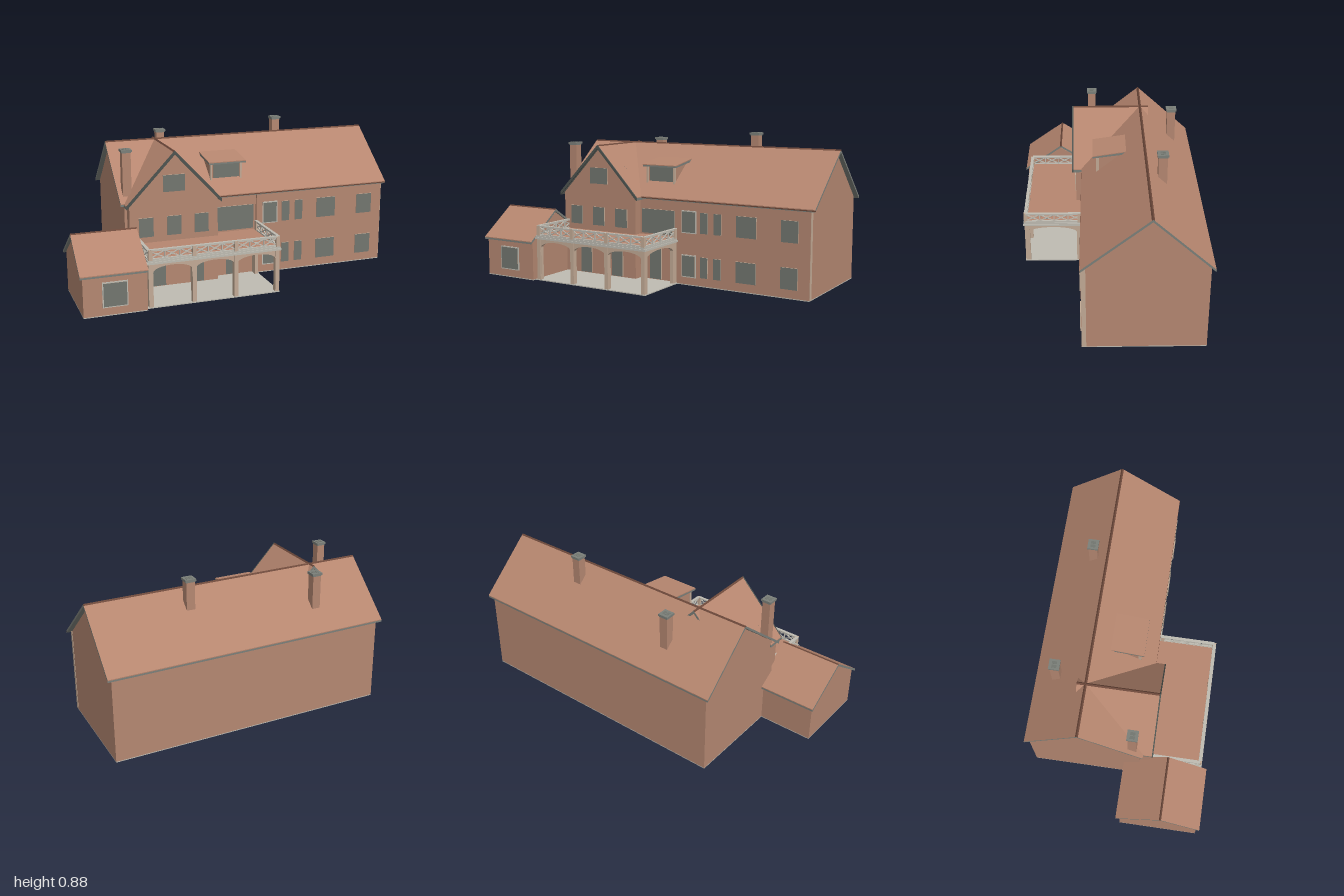
import * as THREE from 'three';

const paint = (name, color) => Object.assign(new THREE.MeshStandardMaterial({ color }), { name });

export function createModel() {
  const brick = paint('brick', 0xb48771), tile = paint('roof tile', 0xb6866f), slate = paint('slate grey', 0x7b7f79);
  const tan = paint('tan stone', 0xc2aa95), cream = paint('pale stone', 0xbfbcb2), glass = paint('window glass', 0x72766f);
  const ridgeTile = paint('ridge tile', 0x6c483a), darkTrim = paint('dark trim', 0x4e5450);
  const model = new THREE.Group();
  model.name = 'house';

  const add = (name, geo, mat, parent = model) => {
    const mesh = new THREE.Mesh(geo, mat);
    mesh.name = name;
    parent.add(mesh);
    return mesh;
  };
  const group = (name) => {
    const g = new THREE.Group();
    g.name = name;
    model.add(g);
    return g;
  };
  // box given by its limits
  const box = (name, x0, x1, y0, y1, z0, z1, mat, parent) => {
    const g = new THREE.BoxGeometry(x1 - x0, y1 - y0, z1 - z0);
    g.translate((x0 + x1) / 2, (y0 + y1) / 2, (z0 + z1) / 2);
    return add(name, g, mat, parent);
  };
  // profile pushed along z (points are x,y) or along x (points are z,y)
  const extrude = (shape, a, b, axis) => {
    const g = new THREE.ExtrudeGeometry(shape, { depth: b - a, bevelEnabled: false, curveSegments: 14 });
    g.translate(0, 0, a);
    if (axis === 'x') g.rotateY(Math.PI / 2);
    return g;
  };
  const prism = (pts, a, b, axis) => {
    const s = axis === 'x' ? -1 : 1;
    return extrude(new THREE.Shape(pts.map(([u, y]) => new THREE.Vector2(s * u, y))), a, b, axis);
  };
  // bent strip under a left, ridge, right line, between two depths
  const chevron = (pts, d0, d1) => [...pts.map(([u, y]) => [u, y - d0]), ...[...pts].reverse().map(([u, y]) => [u, y - d1])];
  // pitched roof: tiles on top of a slate-coloured deck, with a ridge cap
  const roof = (name, pts, a, b, axis, thick = 0.015) => {
    const g = group(name);
    add('roofTiles', prism(chevron(pts, 0, 0.005), a, b, axis), [slate, tile], g);
    add('roofDeck', prism(chevron(pts, 0.005, thick), a, b, axis), slate, g);
    const [u, y] = pts[1];
    add('ridgeCap', prism([[u - 0.008, y - 0.006], [u, y + 0.002], [u + 0.008, y - 0.006]], a, b, axis), ridgeTile, g);
  };

  // main block, front facade and foundations
  add('mainWalls', prism([[0.135, 0.005], [0.135, 0.5], [-0.21, 0.782], [-0.515, 0.5], [-0.515, 0.005]], -0.66, 0.975, 'x'), brick);
  box('frontFacade', 0.14, 0.975, 0.005, 0.5, 0.135, 0.15, brick);
  box('cornerStrip', 0.968, 0.977, 0.005, 0.503, 0.125, 0.149, tan);
  box('mainFoundation', -0.66, 0.975, 0, 0.005, -0.515, 0.15, cream);
  roof('mainRoof', [[0.155, 0.505], [-0.21, 0.8], [-0.535, 0.505]], -0.685, 1, 'x');
  box('frontEave', -0.1, 1, 0.494, 0.5, 0.15, 0.156, ridgeTile);

  // cross gable; its hidden rear part is narrower so that it stays inside the main block
  add('gableWalls', prism([[-0.645, 0.005], [-0.645, 0.5], [-0.38, 0.78], [-0.12, 0.5], [-0.12, 0.005]], -0.1, 0.19, 'z'), brick);
  const gableLine = [[-0.665, 0.502], [-0.38, 0.8], [-0.1, 0.502]];
  roof('gableRoof', gableLine, 0.1, 0.205, 'z', 0.02);
  roof('gableRoofRear', [[-0.637, 0.531], [-0.38, 0.8], [-0.127, 0.531]], -0.26, 0.1, 'z', 0.02);
  add('bargeboard', prism(chevron(gableLine, -0.001, 0.021), 0.205, 0.212, 'z'), darkTrim);

  // low side wing
  add('wingWalls', prism([[0.06, 0.005], [0.06, 0.235], [0.3, 0.385], [0.522, 0.235], [0.522, 0.005]], -0.985, -0.635, 'x'), brick);
  box('wingFoundation', -0.985, -0.635, 0, 0.005, 0.06, 0.522, cream);
  roof('wingRoof', [[0.04, 0.237], [0.3, 0.405], [0.537, 0.237]], -1, -0.632, 'x');

  // shed dormer
  add('dormerWalls', prism([[0.052, 0.56], [0.052, 0.682], [-0.1, 0.706], [-0.1, 0.6]], -0.12, 0.075, 'x'), brick);
  for (const x of [-0.12, 0.067]) box('dormerPost', x - 0.001, x + 0.009, 0.575, 0.68, 0.049, 0.066, tan);
  add('dormerRoofDeck', prism([[0.085, 0.675], [0.085, 0.684], [-0.125, 0.716], [-0.125, 0.702]], -0.135, 0.095, 'x'), slate);
  add('dormerRoofTiles', prism([[0.085, 0.684], [0.085, 0.689], [-0.125, 0.721], [-0.125, 0.716]], -0.135, 0.095, 'x'), tile);

  // windows and doors: a thin plate, some with a pale frame behind it
  const opening = (name, x0, x1, y0, y1, z, framed) => {
    const g = group(name);
    box('glass', x0, x1, y0, y1, z, z + 0.007, [tan, tan, tan, tan, glass, glass], g);
    if (framed) box('frame', x0 - 0.006, x1 + 0.006, y0 - 0.006, y1 + 0.006, z, z + 0.005, cream, g);
  };
  opening('wingWindow', -0.876, -0.749, 0.054, 0.184, 0.522, true);
  opening('atticWindow', -0.447, -0.319, 0.565, 0.662, 0.19);
  opening('dormerWindow', -0.1, 0.062, 0.588, 0.676, 0.052);
  opening('landingWindow', -0.105, 0.122, 0.285, 0.43, 0.135);
  for (const x of [-0.55, -0.385, -0.22]) opening('gableWindow', x - 0.042, x + 0.042, 0.31, 0.422, 0.19);
  for (const [x, z] of [[-0.48, 0.19], [-0.25, 0.19], [-0.01, 0.135]]) opening('door', x - 0.04, x + 0.04, 0.01, 0.198, z);
  const columns = [[0.183, 0.267, true], [0.302, 0.35], [0.388, 0.436], [0.532, 0.656], [0.805, 0.906]];
  for (const [x0, x1, framed] of columns) {
    for (const y of [0.054, 0.314]) opening('facadeWindow', x0, x1, y, y + 0.121, 0.15, framed);
  }

  // chimneys with caps and flues
  const chimney = (x, z, base, top) => {
    const g = group('chimney');
    box('chimneyShaft', x - 0.025, x + 0.025, base, top - 0.012, z - 0.025, z + 0.025, brick, g);
    box('chimneyNeck', x - 0.027, x + 0.027, top - 0.018, top - 0.012, z - 0.027, z + 0.027, slate, g);
    box('chimneyCap', x - 0.031, x + 0.031, top - 0.012, top, z - 0.031, z + 0.031, slate, g);
    for (const s of [-1, 1]) box('flue', x + s * 0.011 - 0.008, x + s * 0.011 + 0.008, top, top + 0.001, z - 0.014, z + 0.014, glass, g);
  };
  chimney(0.435, -0.295, 0.65, 0.877);
  chimney(-0.3, -0.398, 0.55, 0.82);
  chimney(-0.635, 0.09, 0.4, 0.805);

  // porch: floor, arcades, piers and terrace
  box('porchFloor', -0.632, 0.145, 0, 0.006, 0.13, 0.5, cream);
  const arcade = (from, to, arches) => {
    const s = new THREE.Shape();
    s.moveTo(from, 0.006);
    for (const [a, b] of arches) {
      s.lineTo(a, 0.006);
      s.lineTo(a, 0.2);
      s.absellipse((a + b) / 2, 0.2, (b - a) / 2, 0.036, Math.PI, 0, true);
      s.lineTo(b, 0.006);
    }
    s.lineTo(to, 0.006);
    s.lineTo(to, 0.252);
    s.lineTo(from, 0.252);
    return s;
  };
  add('frontArcade', extrude(arcade(-0.622, 0.138, [[-0.595, -0.375], [-0.35, -0.13], [-0.108, 0.118]]), 0.473, 0.493, 'z'), tan);
  const sideArch = arcade(-0.493, -0.14, [[-0.473, -0.185]]);
  for (const x of [-0.622, 0.118]) add('sideArcade', extrude(sideArch, x, x + 0.02, 'x'), tan);
  const posts = [-0.61, -0.362, -0.119, 0.13];
  for (const x of posts) box('pier', x - 0.012, x + 0.012, 0.006, 0.252, 0.468, 0.498, tan);
  box('terraceCornice', -0.632, 0.149, 0.25, 0.262, 0.13, 0.505, cream);
  box('terraceBand', -0.627, 0.144, 0.262, 0.272, 0.13, 0.5, cream);
  box('terraceFloor', -0.612, 0.127, 0.272, 0.275, 0.13, 0.483, tile);

  // balustrade panel, built along x from the origin
  const panel = (len, count) => {
    const g = group('balustradePanel');
    box('topRail', 0, len, 0.322, 0.332, -0.009, 0.009, cream, g);
    box('bottomRail', 0, len, 0.272, 0.28, -0.006, 0.006, cream, g);
    const w = len / count, h = 0.042;
    for (let i = 0; i < count; i++) {
      const cx = (i + 0.5) * w;
      for (const s of [-1, 1]) {
        const strut = add('crossStrut', new THREE.BoxGeometry(Math.hypot(w, h), 0.005, 0.006), cream, g);
        strut.position.set(cx, 0.301, 0);
        strut.rotation.z = s * Math.atan2(h, w);
        // curved brace bowing toward the middle of the panel
        const y = 0.301 + s * 0.021;
        const bow = new THREE.QuadraticBezierCurve3(
          new THREE.Vector3(cx - w / 2, y, 0), new THREE.Vector3(cx, 0.301 - s * 0.012, 0), new THREE.Vector3(cx + w / 2, y, 0));
        add('curvedBrace', new THREE.TubeGeometry(bow, 10, 0.0028, 5), cream, g);
      }
      if (i) box('baluster', i * w - 0.003, i * w + 0.003, 0.278, 0.324, -0.004, 0.004, cream, g);
    }
    return g;
  };
  for (let i = 0; i < 3; i++) panel(posts[i + 1] - posts[i], 3).position.set(posts[i], 0, 0.49);
  for (const x of [-0.618, 0.136]) {
    const side = panel(0.34, 4);
    side.position.set(x, 0, 0.49);
    side.rotation.y = Math.PI / 2;
    box('wallPost', x - 0.01, x + 0.01, 0.272, 0.33, 0.155, 0.178, tan);
  }
  for (const x of posts) box('railPost', x - 0.011, x + 0.011, 0.272, 0.33, 0.479, 0.501, tan);

  return model;
}
